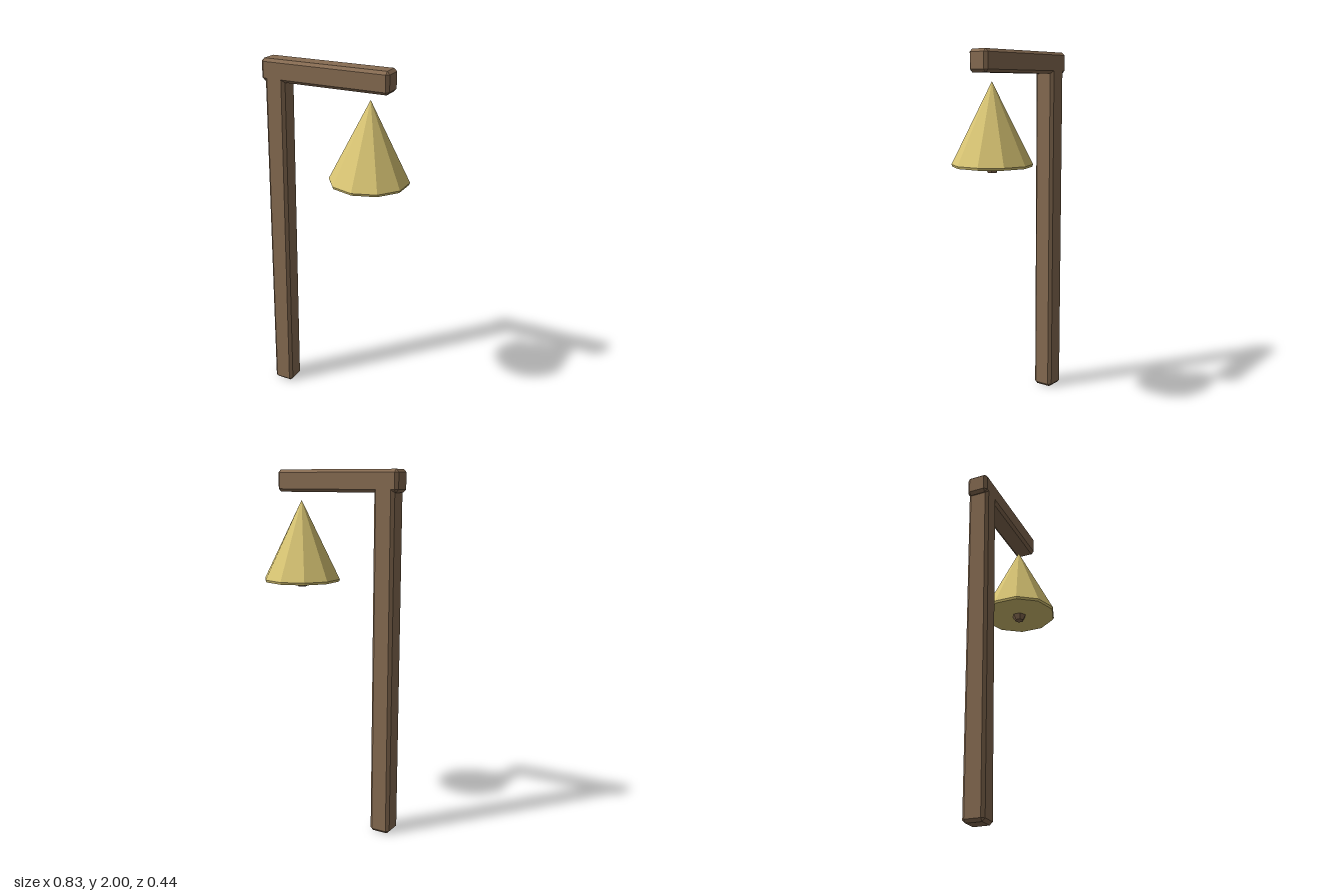
import * as THREE from 'three';
import { ConvexGeometry } from 'three/addons/geometries/ConvexGeometry.js';

const wood = new THREE.MeshStandardMaterial({ color: 0x876c52 });
wood.name = 'brown wood';
const gold = new THREE.MeshStandardMaterial({ color: 0xd9c574 });
gold.name = 'pale gold';

// Box with 45 degree bevels on all edges
function beveledBox(w, h, d, b) {
  const points = [];
  const [x, y, z] = [w / 2, h / 2, d / 2];
  for (const sx of [-1, 1]) for (const sy of [-1, 1]) for (const sz of [-1, 1]) {
    points.push(
      new THREE.Vector3(sx * x, sy * (y - b), sz * (z - b)),
      new THREE.Vector3(sx * (x - b), sy * y, sz * (z - b)),
      new THREE.Vector3(sx * (x - b), sy * (y - b), sz * z)
    );
  }
  return new ConvexGeometry(points);
}

// Faceted normals for low-poly round parts
function faceted(geometry) {
  const flat = geometry.toNonIndexed();
  flat.computeVertexNormals();
  return flat;
}

function addPart(parent, name, geometry, material, x, y) {
  const mesh = new THREE.Mesh(geometry, material);
  mesh.name = name;
  mesh.position.set(x, y, 0);
  parent.add(mesh);
}

export function createModel() {
  const model = new THREE.Group();
  model.name = 'hangingBellPost';

  // Upright and overhanging arm
  addPart(model, 'post', beveledBox(0.118, 1.94, 0.12, 0.016), wood, -0.333, 0.97);
  addPart(model, 'arm', beveledBox(0.74, 0.12, 0.12, 0.016), wood, -0.043, 1.94);

  // Ten-sided bell with a narrow tapered rim
  const bell = new THREE.Group();
  bell.name = 'bell';
  bell.position.x = 0.205;
  model.add(bell);
  addPart(bell, 'bellCone', faceted(new THREE.ConeGeometry(0.218, 0.435, 10, 1, true)), gold, 0, 1.6175);
  addPart(bell, 'bellRim', faceted(new THREE.CylinderGeometry(0.218, 0.213, 0.013, 10)), gold, 0, 1.3935);

  // Clapper showing below the rim
  addPart(bell, 'clapper', faceted(new THREE.CylinderGeometry(0.043, 0.025, 0.035, 6)), wood, 0, 1.3725);

  return model;
}
